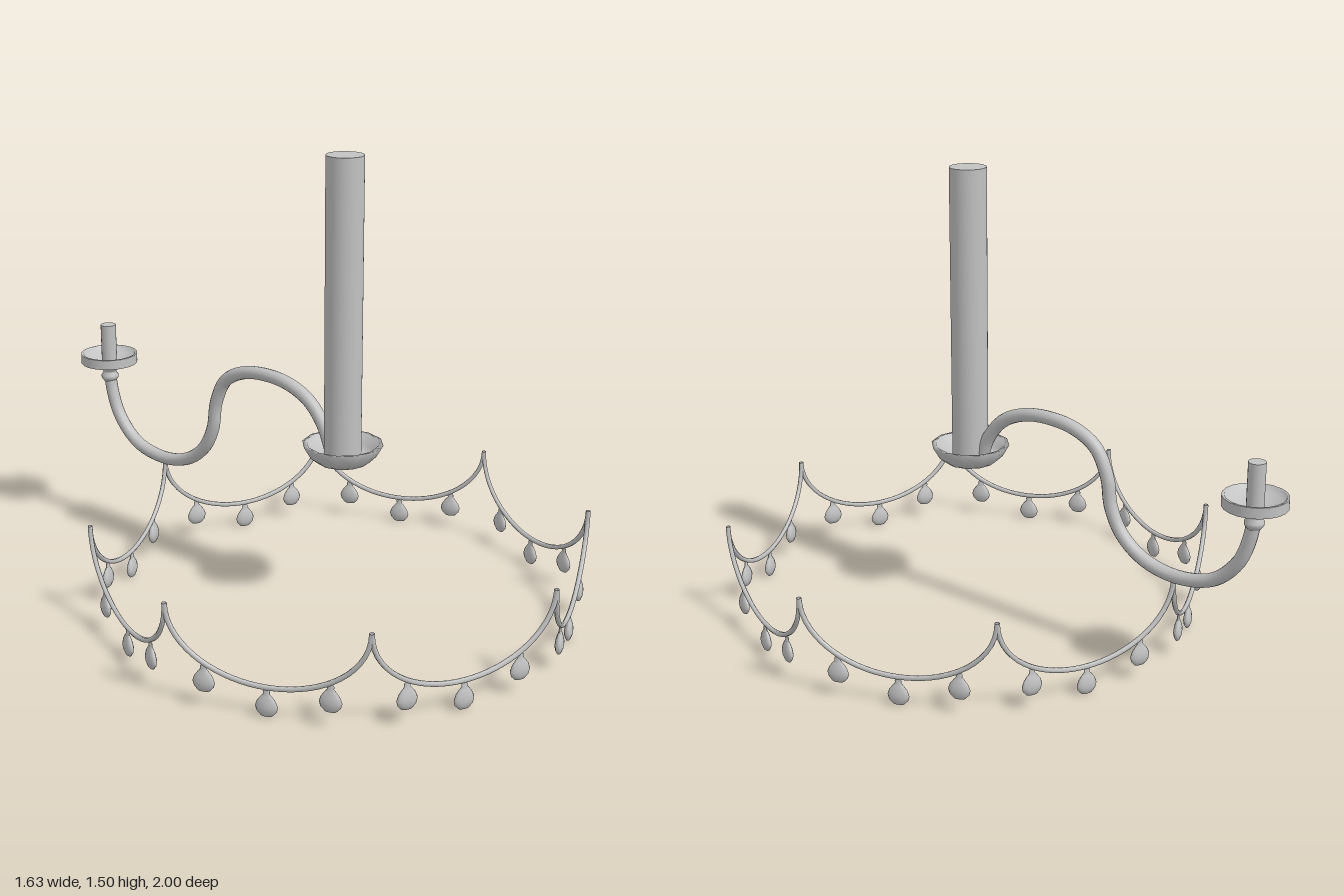
import * as THREE from 'three';

const metal = new THREE.MeshStandardMaterial({ color: 0xc2c2c2, side: THREE.DoubleSide });
metal.name = 'pale grey';

const CENTRE_Z = 0.18; // axis of the column and the garland ring
const CUP_Z = -0.9;    // axis of the candle cup at the end of the arm

function add(parent, name, geometry, x = 0, y = 0, z = 0) {
  const mesh = new THREE.Mesh(geometry, metal);
  mesh.name = name;
  mesh.position.set(x, y, z);
  parent.add(mesh);
  return mesh;
}

function lathe(points, segments) {
  return new THREE.LatheGeometry(points.map(([r, y]) => new THREE.Vector2(r, y)), segments);
}

// One hanging swag of the ring with its three flat crystal drops
function makeSwag(length) {
  const swag = new THREE.Group();
  swag.name = 'swag';
  const half = length / 2;
  const height = u => 0.32 - 0.22 * Math.sqrt(Math.max(0, 1 - u * u));
  const points = [];
  for (let i = 0; i <= 20; i++) {
    const u = -Math.cos((i / 20) * Math.PI);
    points.push(new THREE.Vector3(u * half, height(u), 0));
  }
  add(swag, 'swagWire', new THREE.TubeGeometry(new THREE.CatmullRomCurve3(points), 32, 0.008, 6));

  // Pear profile, hung from its top
  const drop = lathe([[0, -0.09], [0.018, -0.086], [0.031, -0.072], [0.035, -0.057],
    [0.029, -0.04], [0.018, -0.025], [0.01, -0.016], [0.011, -0.008], [0.006, 0]], 12);
  drop.scale(1, 1, 0.4);
  for (const u of [-0.62, 0, 0.62]) {
    add(swag, 'crystalDrop', drop, u * half, height(u) - 0.004, 0);
  }
  return swag;
}

export function createModel() {
  const model = new THREE.Group();
  model.name = 'chandelier';

  // Central column standing in a shallow bowl
  add(model, 'column', new THREE.CylinderGeometry(0.06, 0.06, 0.975, 24), 0, 1.0175, CENTRE_Z);
  add(model, 'bowl', lathe([[0, 0.52], [0.083, 0.52], [0.108, 0.54], [0.131, 0.58],
    [0.116, 0.58], [0.098, 0.55], [0.078, 0.532], [0, 0.532]], 12), 0, 0, CENTRE_Z);

  // S-shaped arm, as [z, y]
  const path = [[0.13, 0.55], [0.1, 0.62], [0.04, 0.69], [-0.05, 0.73], [-0.15, 0.74],
    [-0.25, 0.725], [-0.33, 0.68], [-0.375, 0.59], [-0.39, 0.5], [-0.435, 0.415],
    [-0.52, 0.353], [-0.64, 0.33], [-0.77, 0.358], [-0.855, 0.44], [-0.89, 0.53], [-0.9, 0.6]];
  const curve = new THREE.CatmullRomCurve3(path.map(([z, y]) => new THREE.Vector3(0, y, z)));
  add(model, 'arm', new THREE.TubeGeometry(curve, 64, 0.022, 12));

  // Collar, drip dish and candle holder at the tip of the arm
  add(model, 'collar', lathe([[0.02, 0.56], [0.03, 0.573], [0.031, 0.583], [0.023, 0.594],
    [0.024, 0.6], [0.034, 0.612]], 16), 0, 0, CUP_Z);
  add(model, 'dripDishBase', lathe([[0, 0.61], [0.034, 0.61], [0.1, 0.631]], 20), 0, 0, CUP_Z);
  add(model, 'dripDishRim', lathe([[0.1, 0.631], [0.1, 0.665]], 20), 0, 0, CUP_Z);
  add(model, 'dripDishInside', lathe([[0.1, 0.665], [0.092, 0.665], [0.085, 0.645],
    [0.03, 0.625], [0, 0.625]], 20), 0, 0, CUP_Z);
  add(model, 'candleHolder', new THREE.CylinderGeometry(0.027, 0.027, 0.15, 16), 0, 0.695, CUP_Z);

  // Eight swags around an octagon with one corner facing forward
  const ring = new THREE.Group();
  ring.name = 'garlandRing';
  ring.position.z = CENTRE_Z;
  const radius = 0.81;
  const side = 2 * radius * Math.sin(Math.PI / 8);
  const inner = radius * Math.cos(Math.PI / 8);
  for (let i = 0; i < 8; i++) {
    const angle = ((i + 0.5) * Math.PI) / 4;
    const swag = makeSwag(side);
    swag.position.set(Math.sin(angle) * inner, 0, Math.cos(angle) * inner);
    swag.rotation.y = angle;
    ring.add(swag);
  }
  model.add(ring);

  return model;
}
